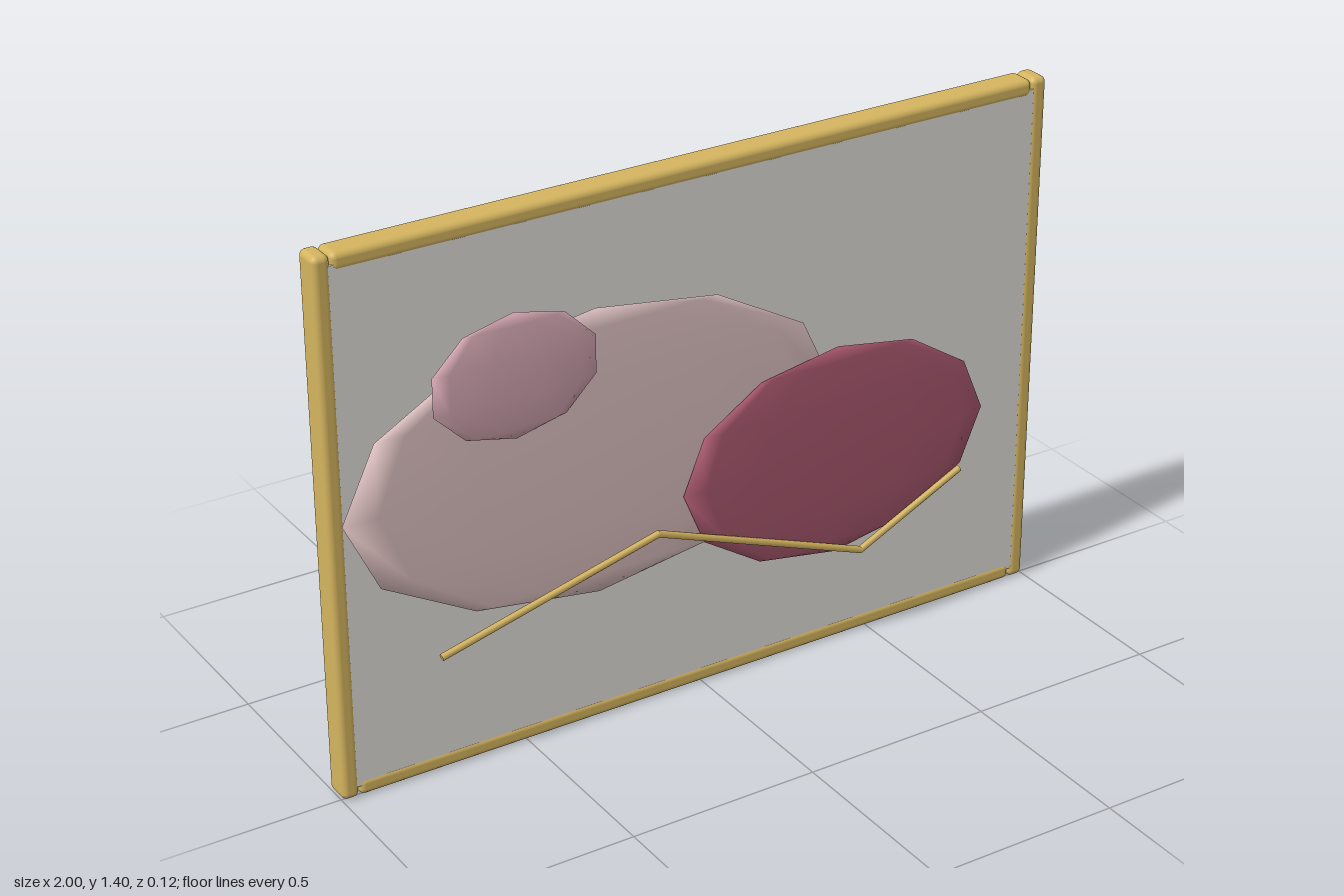
import * as THREE from 'three';
import { RoundedBoxGeometry } from 'three/addons/geometries/RoundedBoxGeometry.js';

const material = (color) => new THREE.MeshStandardMaterial({ color });

export function createModel() {
  const group = new THREE.Group();
  const gold = material(0xd4b45f);

  const add = (name, geometry, mat, x, y, z) => {
    const mesh = new THREE.Mesh(geometry, mat);
    mesh.name = name;
    mesh.position.set(x, y, z);
    group.add(mesh);
    return mesh;
  };

  // Canvas panel, set close to the front of the frame
  add('canvas', new THREE.BoxGeometry(1.93, 1.345, 0.022), material(0xe0dcd6), 0, 0.7, 0);

  // Frame: two full-height posts with two rails between them
  const width = 0.045, depth = 0.074, frameZ = -0.023, radius = 0.016;
  for (const side of [-1, 1]) {
    add(side < 0 ? 'frameRight' : 'frameLeft',
      new RoundedBoxGeometry(width, 1.4, depth, 3, radius), gold,
      side * (1 - width / 2), 0.7, frameZ);
    add(side < 0 ? 'frameBottom' : 'frameTop',
      new RoundedBoxGeometry(2 - 2 * width, width, depth, 3, radius), gold,
      0, 0.7 + side * (0.7 - width / 2), frameZ);
  }

  // Flattened low-poly ellipsoids as raised paint patches
  const patch = (name, color, x, y, z, rx, ry, rz, rows) => {
    const geometry = new THREE.SphereGeometry(1, rows * 2, rows);
    geometry.scale(rx, ry, rz);
    add(name, geometry, material(color), x, y, z);
  };
  patch('palePatch', 0xdabdbd, -0.3, 0.735, 0.025, 0.67, 0.375, 0.012, 6);
  patch('redPatch', 0xa6566c, 0.375, 0.555, 0.038, 0.445, 0.285, 0.014, 6);
  patch('pinkPatch', 0xd2a5b0, -0.525, 1.005, 0.045, 0.225, 0.16, 0.015, 5);

  // Bent golden line running across the patches
  const points = [[-0.745, 0.335], [-0.15, 0.485], [0.445, 0.26], [0.745, 0.405]]
    .map(([x, y]) => new THREE.Vector3(x, y, 0.053));
  for (let i = 0; i < points.length - 1; i++) {
    const a = points[i], b = points[i + 1];
    const dir = b.clone().sub(a);
    const mid = a.clone().add(b).multiplyScalar(0.5);
    const rod = add('goldLine' + (i + 1),
      new THREE.CylinderGeometry(0.009, 0.009, dir.length() + 0.004, 6), gold, mid.x, mid.y, mid.z);
    rod.quaternion.setFromUnitVectors(new THREE.Vector3(0, 1, 0), dir.normalize());
  }
  return group;
}
